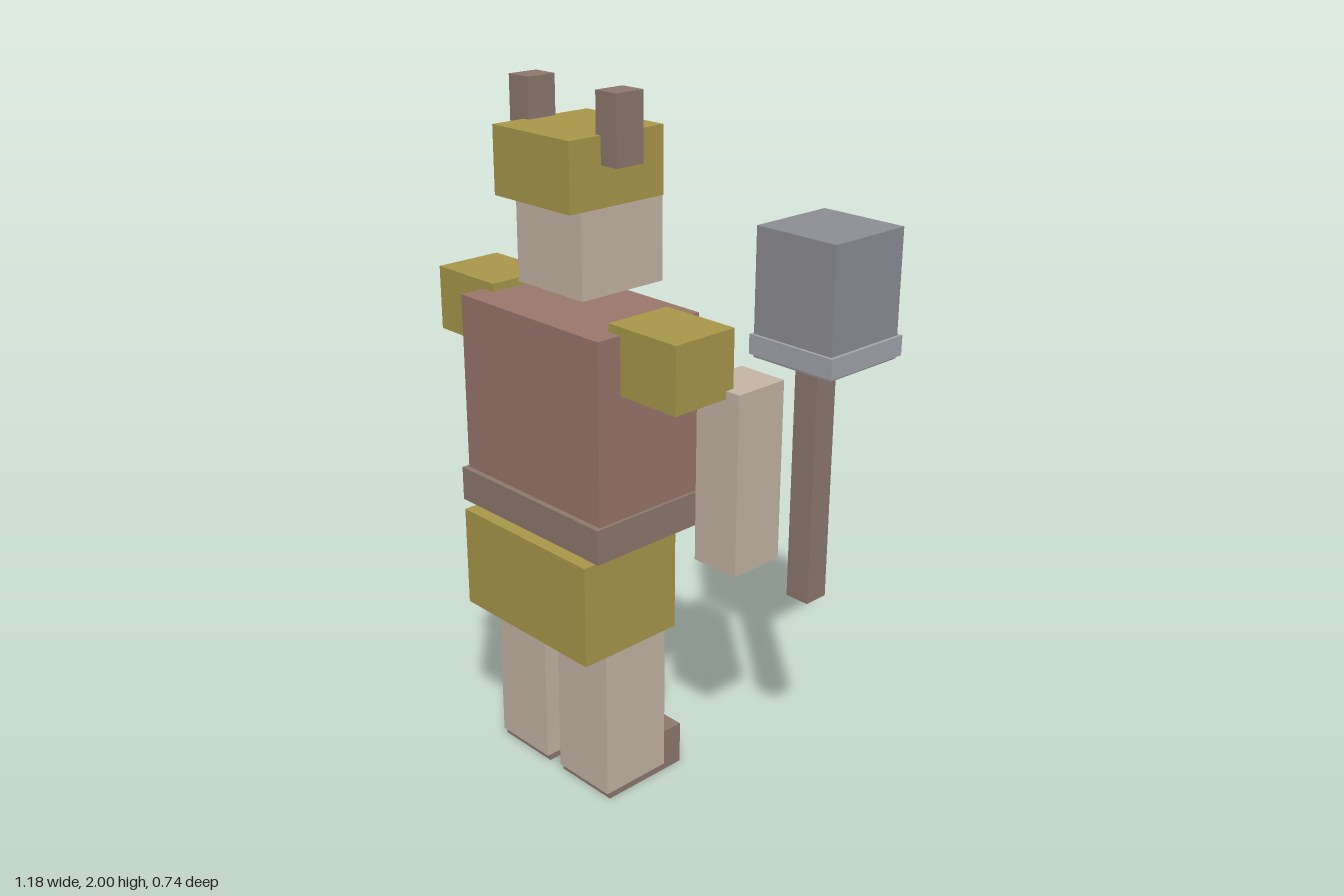
import * as THREE from 'three';

export function createModel() {
  const model = new THREE.Group();
  const paint = (color) => new THREE.MeshStandardMaterial({ color });
  const gold = paint(0xab9a4b), skin = paint(0xc6b8a6), rust = paint(0x9c786e);
  const brown = paint(0x8f7a6f), coral = paint(0xdd8a70);
  const steel = paint(0x8f9096), lightSteel = paint(0xa6a7ae);

  // Box spanning the given [min, max] ranges
  function block(name, material, [x0, x1], [y0, y1], [z0, z1], parent = model) {
    const mesh = new THREE.Mesh(new THREE.BoxGeometry(x1 - x0, y1 - y0, z1 - z0), material);
    mesh.position.set((x0 + x1) / 2, (y0 + y1) / 2, (z0 + z1) / 2);
    mesh.name = name;
    parent.add(mesh);
  }

  // The body is symmetric about x = -0.1
  const mid = -0.1;
  const centred = (w) => [mid - w / 2, mid + w / 2];

  // Head
  block('head', skin, centred(0.26), [1.465, 1.75], [-0.037, 0.248]);
  block('mouth', coral, centred(0.15), [1.55, 1.625], [-0.05, -0.03]);
  block('cap', gold, centred(0.3), [1.705, 1.89], [-0.02, 0.302]);

  // Torso
  block('torso', rust, centred(0.56), [0.81, 1.412], [-0.028, 0.33]);
  block('belt', brown, centred(0.58), [0.8, 0.9], [-0.03, 0.347]);
  block('buckle', lightSteel, centred(0.115), [0.793, 0.89], [-0.056, -0.02]);
  block('chestStrip', coral, centred(0.453), [1.185, 1.285], [-0.048, -0.02]);
  block('skirt', gold, centred(0.517), [0.487, 0.785], [0.032, 0.367]);

  // Mirrored pairs
  for (const [side, s] of [['left', 1], ['right', -1]]) {
    const span = (a, b) => (s > 0 ? [mid + a, mid + b] : [mid - b, mid - a]);
    block(side + 'Horn', brown, span(0.132, 0.208), [1.815, 2], [0.105, 0.197]);
    block(side + 'ShoulderPad', gold, span(0.237, 0.481), [1.25, 1.435], [0.048, 0.254]);
    block(side + 'Leg', skin, span(0.029, 0.237), [0.02, 0.5], [0.05, 0.275]);
    block(side + 'Boot', brown, span(0.03, 0.236), [0, 0.13], [-0.016, 0.265]);
  }

  // Arms, the left one reaching towards the hammer
  block('rightArm', skin, [-0.592, -0.44], [0.76, 1.27], [0, 0.17]);
  block('leftArm', skin, [0.277, 0.427], [0.757, 1.272], [-0.094, 0.074]);

  // Hammer
  const hammer = new THREE.Group();
  hammer.name = 'hammer';
  model.add(hammer);
  block('hammerHandle', brown, [0.407, 0.482], [0.613, 1.32], [-0.235, -0.16], hammer);
  block('hammerHead', steel, [0.314, 0.578], [1.306, 1.66], [-0.36, -0.097], hammer);
  block('hammerCollar', lightSteel, [0.306, 0.588], [1.315, 1.37], [-0.369, -0.088], hammer);

  return model;
}
